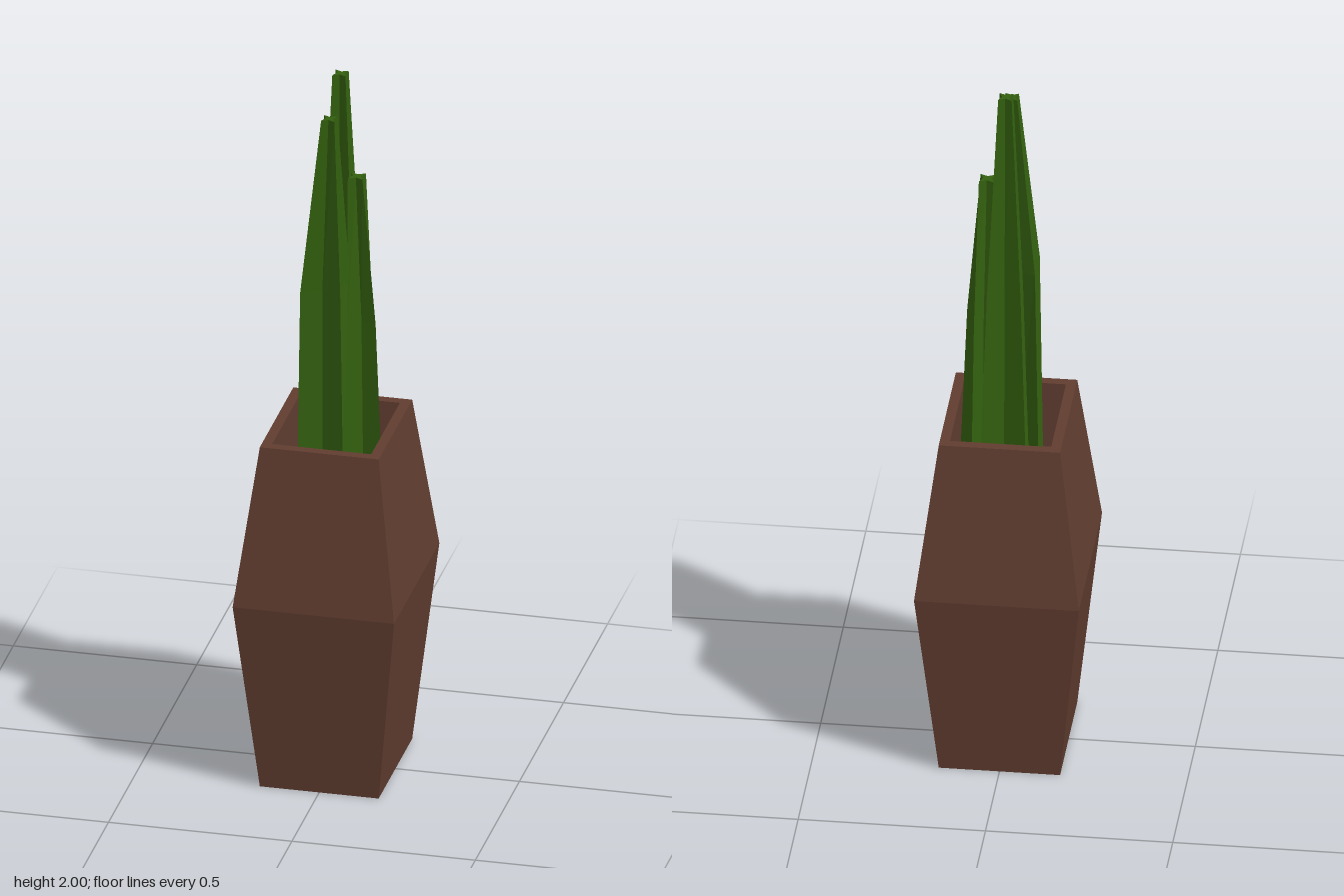
import * as THREE from 'three';

// Flat-shaded loft through rings of [x, y, z] points (counter-clockwise seen from above), closed at both ends
function loft(rings) {
  const pos = [];
  const tri = (a, b, c) => pos.push(...a, ...b, ...c);
  const n = rings[0].length;
  const centre = (r) => [0, 1, 2].map((k) => r.reduce((s, p) => s + p[k], 0) / n);
  const first = rings[0], last = rings[rings.length - 1];
  const c0 = centre(first), c1 = centre(last);
  for (let j = 0; j < n; j++) {
    const k = (j + 1) % n;
    for (let i = 0; i < rings.length - 1; i++) {
      const a = rings[i], b = rings[i + 1];
      tri(a[j], a[k], b[k]);
      tri(a[j], b[k], b[j]);
    }
    tri(c0, first[k], first[j]);
    tri(c1, last[j], last[k]);
  }
  const g = new THREE.BufferGeometry();
  g.setAttribute('position', new THREE.Float32BufferAttribute(pos, 3));
  g.computeVertexNormals();
  return g;
}

const rect = (y, x, z) => [[-x, y, -z], [-x, y, z], [x, y, z], [x, y, -z]];

// Four-pointed star: corners as [x, z], with a notch pulled inward between each pair
function star(y, corners, pull = 0.45) {
  const cx = corners.reduce((s, p) => s + p[0], 0) / 4;
  const cz = corners.reduce((s, p) => s + p[1], 0) / 4;
  return corners.flatMap((p, i) => {
    const q = corners[(i + 1) % 4];
    const mx = (p[0] + q[0]) / 2, mz = (p[1] + q[1]) / 2;
    return [[p[0], y, p[1]], [mx + (cx - mx) * pull, y, mz + (cz - mz) * pull]];
  });
}

// Small star at the cut end of a leaf
const tip = (y, x, z, r) => star(y, [[x - r, z - r], [x - r, z + r], [x + r, z + r], [x + r, z - r]]);

export function createModel() {
  const model = new THREE.Group();
  model.name = 'pottedPlant';
  const brown = new THREE.MeshStandardMaterial({ name: 'brown clay', color: 0x603d30, flatShading: true });
  const green = new THREE.MeshStandardMaterial({ name: 'leaf green', color: 0x33600f, flatShading: true });
  const add = (name, rings, material) => {
    const mesh = new THREE.Mesh(loft(rings), material);
    mesh.name = name;
    model.add(mesh);
  };

  // Faceted pot with a rim and a recessed floor
  add('pot', [
    rect(0, 0.162, 0.19), rect(0.55, 0.22, 0.257), rect(0.995, 0.162, 0.19),
    rect(0.995, 0.135, 0.163), rect(0.8, 0.135, 0.163),
  ], brown);

  // Three upright leaves, each with a slight bend part of the way up
  add('backLeaf', [
    star(0.8, [[-0.065, -0.12], [-0.058, -0.005], [0.055, -0.008], [0.064, -0.12]]),
    star(1.4, [[-0.045, -0.095], [-0.042, -0.015], [0.042, -0.015], [0.045, -0.095]]),
    tip(2, 0, -0.051, 0.018),
  ], green);
  add('frontLeaf', [
    star(0.8, [[-0.085, -0.022], [-0.081, 0.107], [0.045, 0.102], [0.062, 0.02]]),
    star(1.42, [[-0.072, 0.0], [-0.072, 0.107], [0.036, 0.102], [0.042, 0.012]]),
    tip(1.925, 0, 0.076, 0.018),
  ], green);
  add('sideLeaf', [
    star(0.8, [[0.02, -0.075], [0.03, 0.035], [0.131, 0.014], [0.086, -0.106]]),
    star(1.3, [[0.028, -0.06], [0.036, 0.025], [0.11, 0.008], [0.082, -0.075]]),
    tip(1.722, 0.054, -0.012, 0.02),
  ], green);

  return model;
}
